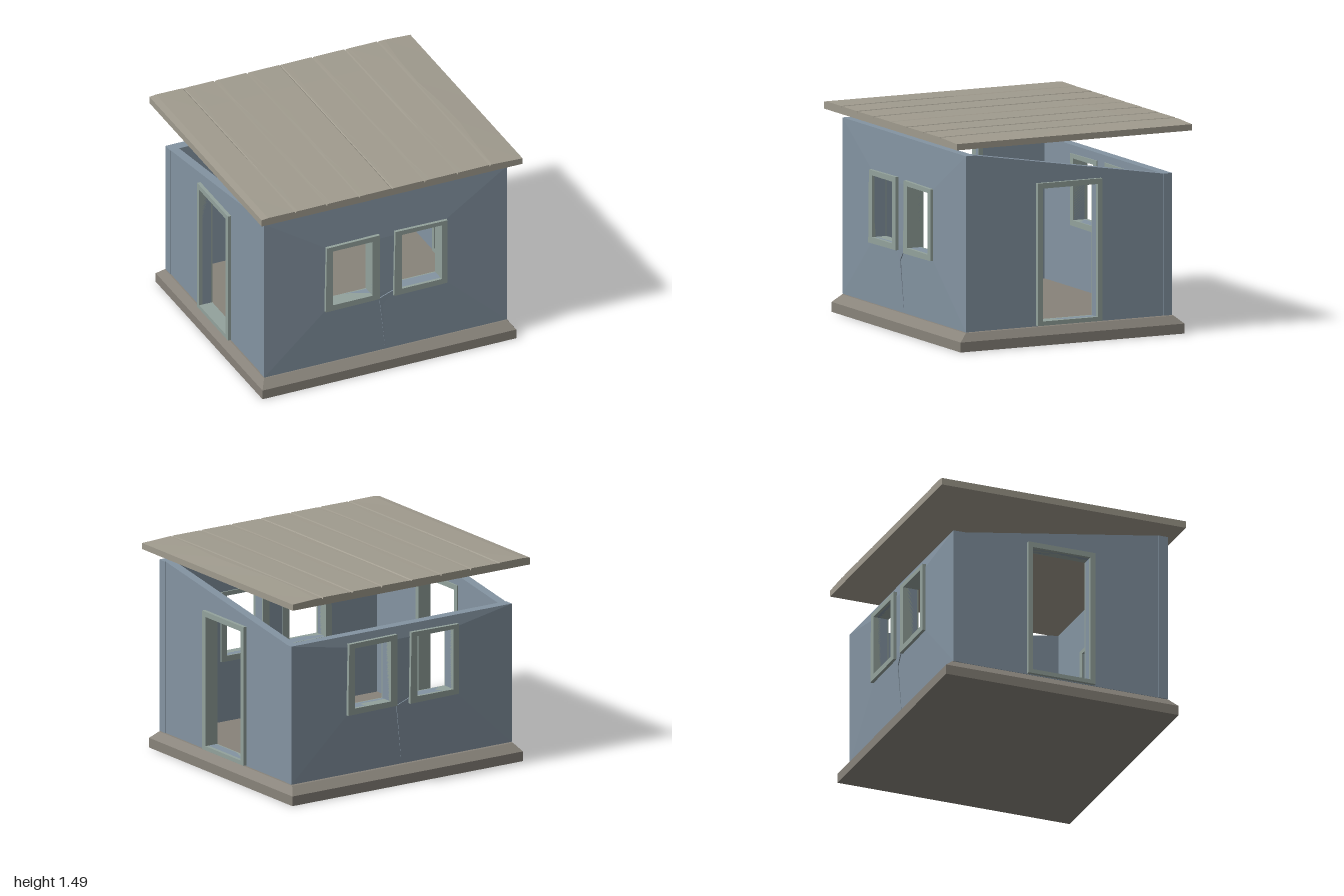
import * as THREE from 'three';

const material = (color) => new THREE.MeshStandardMaterial({ color, flatShading: true });
const wallMat = material(0x8494a2);
const trimMat = material(0x93a29c);
const roofMat = material(0xa09b8e);
const baseMat = material(0x88837a);

const polygon = (pts) => new THREE.Shape(pts.map(([x, y]) => new THREE.Vector2(x, y)));
const rect = (x0, x1, y0, y1) => [[x0, y0], [x1, y0], [x1, y1], [x0, y1]];

// Flat panel with openings, extruded from z = 0 to z = depth
function panel(outline, holes, depth, steps = 1) {
  const shape = polygon(outline);
  shape.holes = holes.map((h) => polygon(h));
  return new THREE.ExtrudeGeometry(shape, { depth, steps, bevelEnabled: false });
}

// Apply a rule to every vertex and refresh the normals
function reshape(geometry, rule) {
  const p = geometry.attributes.position;
  const v = new THREE.Vector3();
  for (let i = 0; i < p.count; i++) {
    rule(v.fromBufferAttribute(p, i));
    p.setXYZ(i, v.x, v.y, v.z);
  }
  geometry.computeVertexNormals();
  return geometry;
}

function add(parent, name, geometry, mat) {
  const mesh = new THREE.Mesh(geometry, mat);
  mesh.name = name;
  parent.add(mesh);
  return mesh;
}

// Windowed wall facing +z, its outer face at z = 0.07
function windowWall(name, top) {
  const group = new THREE.Group();
  group.name = name;
  const openings = [[-0.42, -0.115], [0.11, 0.415]].map(([a, b]) => rect(a, b, 0.605, 1.04));
  const wall = reshape(panel(rect(-0.93, 0.93, 0.13, top), openings, 0.07), (v) => {
    // the plaster bulges gently towards the windows
    if (Math.abs(v.x) < 0.6 && v.z > 0.05) v.z += 0.013;
  });
  add(group, 'wall', wall, wallMat);

  const outers = [
    [[-0.475, 0.56], [-0.06, 0.565], [-0.06, 1.08], [-0.465, 1.075]],
    [[0.05, 0.56], [0.46, 0.565], [0.46, 1.07], [0.06, 1.075]],
  ];
  outers.forEach((outer, i) => {
    const frame = panel(outer, [openings[i]], 0.115);
    add(group, 'windowFrame', frame, trimMat).position.z = -0.01;
  });

  // raised crack between the windows, tapering to the ground
  const crack = panel([[-0.055, 0.56], [-0.005, 0.15], [0, 0.15], [-0.03, 0.5], [0.05, 0.6]], [], 0.02);
  reshape(crack, (v) => {
    v.z = v.z > 0.01 ? 0.072 + Math.max(0, v.y - 0.15) * 0.04 : 0.05;
  });
  add(group, 'crack', crack, wallMat);
  return group;
}

// Roof slab with shallow grooves between its planks
function roofGeometry() {
  // seam x, groove depth on the back half, groove depth on the front half
  const seams = [
    [-0.74, 0.002, 0.012], [-0.5, 0.014, 0.014], [-0.25, 0.014, 0.012], [0, 0.004, 0.002],
    [0.25, 0.012, 0.014], [0.5, 0.01, 0.014], [0.75, 0.012, 0.012],
  ];
  const outline = [[-1, 1.43], [1, 1.43], [1, 1.474]];
  for (const [x] of [...seams].reverse()) {
    outline.push([x + 0.05, 1.487], [x + 0.006, 1.486], [x, 1.47], [x - 0.008, 1.488]);
  }
  outline.push([-0.95, 1.486], [-1, 1.48]);
  const geometry = panel(outline, [], 1.84, 6);
  return reshape(geometry, (v) => {
    v.z -= 0.92;
    const seam = seams.find(([x]) => Math.abs(v.x - x) < 0.06);
    if (!seam || v.y < 1.44) return;
    const front = v.z > 0.02;
    const offset = v.x - seam[0];
    if (Math.abs(offset) < 0.001) v.y = 1.485 - (front ? seam[2] : seam[1]);
    // groove shoulders widen and narrow along the plank
    if (offset > 0.04) v.x = seam[0] + 0.035 + 0.02 * Math.sin(v.z * 5 + seam[0] * 9);
    if (Math.abs(v.z) > 0.9) v.y -= 0.003;
  });
}

export function createModel() {
  const model = new THREE.Group();
  model.name = 'hut';

  // Foundation with a sloped upper edge
  const base = reshape(new THREE.BoxGeometry(1.945, 0.125, 1.75, 1, 2, 1), (v) => {
    if (v.y > 0.03) {
      v.x *= 0.958;
      v.z *= 0.93;
    }
    v.y = Math.abs(v.y) < 0.01 ? 0.07 : v.y + 0.0625;
  });
  add(model, 'foundation', base, baseMat);

  // Tall front wall and low back wall
  const front = windowWall('frontWall', 1.37);
  front.position.z = 0.742;
  const back = windowWall('backWall', 1.13);
  back.rotation.y = Math.PI;
  back.position.z = -0.732;
  model.add(front, back);

  // Sloping side walls with doorways; the profile runs along z
  const door = rect(-0.21, 0.22, 0.165, 1.1);
  const sideOutline = [[-0.732, 0.13], [0.742, 0.13], [0.742, 1.37], [-0.732, 1.13]];
  const side = panel(sideOutline, [door], 0.065).rotateY(-Math.PI / 2);
  const frame = panel(rect(-0.245, 0.26, 0.135, 1.138), [door], 0.1).rotateY(-Math.PI / 2);
  for (const [name, s] of [['left', 1], ['right', -1]]) {
    add(model, name + 'Wall', side, wallMat).position.x = s > 0 ? 0.925 : -0.86;
    add(model, name + 'DoorFrame', frame, trimMat).position.x = s > 0 ? 0.95 : -0.85;
  }

  // Flat roof held clear above the walls
  add(model, 'roof', roofGeometry(), roofMat);
  return model;
}
